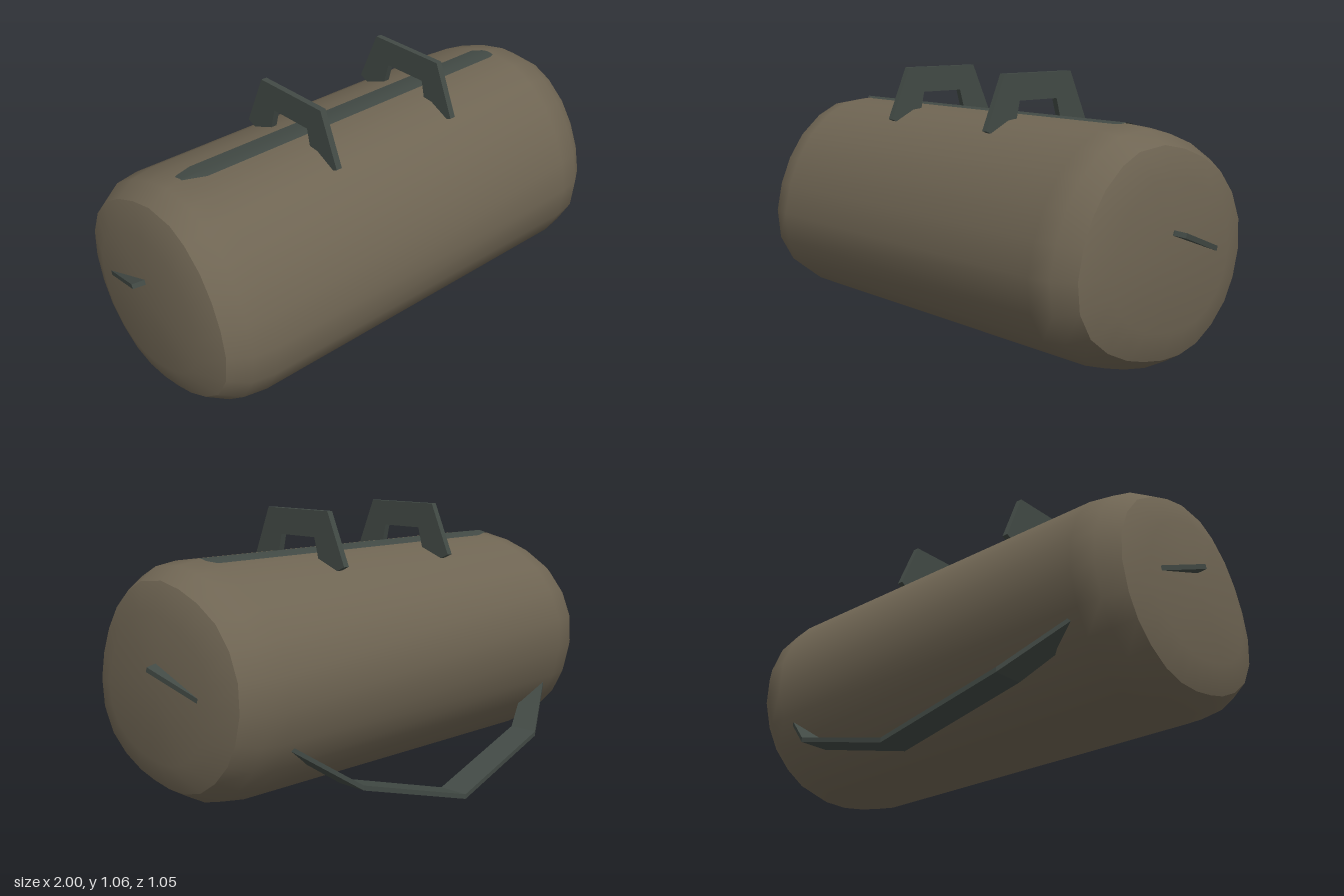
import * as THREE from 'three';

const fabric = new THREE.MeshStandardMaterial({ color: 0x6f6553 });
fabric.name = 'khaki fabric';
const webbing = new THREE.MeshStandardMaterial({ color: 0x424a45, side: THREE.DoubleSide });
webbing.name = 'dark webbing';

// Skin a list of sections (each a list of [x, y, z]); closed wraps each section round.
function loft(sections, closed = true) {
  const n = sections[0].length, index = [];
  for (let i = 0; i < sections.length - 1; i++) {
    for (let j = 0; j < (closed ? n : n - 1); j++) {
      const a = i * n + j, b = i * n + (j + 1) % n;
      index.push(a, b, a + n, b, b + n, a + n);
    }
  }
  const g = new THREE.BufferGeometry();
  g.setAttribute('position', new THREE.Float32BufferAttribute(sections.flat(2), 3));
  g.setIndex(index);
  g.computeVertexNormals();
  return g;
}

// Saggy round outline of the bag as [z, y], from the top over the front
const OUTLINE = [
  [0.07, 0.91], [0.21, 0.895], [0.3, 0.85], [0.39, 0.77], [0.455, 0.673], [0.5, 0.566],
  [0.525, 0.448], [0.513, 0.327], [0.455, 0.222], [0.363, 0.149], [0.257, 0.1], [0.163, 0.076],
  [0.06, 0.06], [-0.045, 0.062], [-0.147, 0.09], [-0.24, 0.15], [-0.32, 0.234], [-0.37, 0.33],
  [-0.4, 0.45], [-0.394, 0.572], [-0.347, 0.685], [-0.27, 0.777], [-0.158, 0.845], [-0.045, 0.887],
];
const CZ = 0.06, CY = 0.48;
const ring = ([x, s]) => OUTLINE.map(([z, y]) => [x, CY + (y - CY) * s, CZ + (z - CZ) * s]);

function polygon(points) {
  return new THREE.Shape(points.map(([x, y]) => new THREE.Vector2(x, y)));
}

function plate(points, depth) {
  const g = new THREE.ExtrudeGeometry(polygon(points), { depth, bevelEnabled: false });
  return g.translate(0, 0, -depth / 2);
}

export function createModel() {
  const model = new THREE.Group();
  model.name = 'duffelBag';
  const add = (name, geometry, material) => {
    const mesh = new THREE.Mesh(geometry, material);
    mesh.name = name;
    model.add(mesh);
    return mesh;
  };

  // Bag body with rounded shoulders
  const profile = [[-0.915, 0.865], [-0.84, 0.97], [-0.75, 1], [0.75, 1], [0.84, 0.97], [0.915, 0.865]];
  add('body', loft(profile.map(ring)), fabric);

  // Slightly domed end panels
  add('leftEnd', loft([[0.915, 0.865], [0.955, 0.62], [0.955, 0]].map(ring)), fabric);
  add('rightEnd', loft([[-0.955, 0], [-0.955, 0.62], [-0.915, 0.865]].map(ring)), fabric);

  // Zip strip lying over the top ridge: [x, back z, front z]
  const topY = (z) => 0.913 - (z < 0.07 ? (0.07 - z) * 0.2 : (z - 0.07) * 0.107);
  const strip = [[-0.785, 0.04, 0.08], [-0.77, 0.03, 0.085], [-0.7, 0.005, 0.11], [0.72, 0.005, 0.11], [0.745, 0.04, 0.1]];
  add('zipStrip', loft(strip.map(([x, z0, z1]) => [z0, 0.07, z1].map((z) => [x, topY(z), z])), false), webbing);

  // Pair of carry handles, outlined as [z, y]
  const handle = [
    [0.313, 0.862], [0.228, 1.062], [-0.099, 1.062], [-0.186, 0.865], [-0.07, 0.81],
    [-0.028, 0.963], [0.155, 0.963], [0.19, 0.81],
  ];
  for (const side of [1, -1]) {
    const mesh = add(side > 0 ? 'leftHandle' : 'rightHandle', plate(handle, 0.024), webbing);
    mesh.rotation.y = -Math.PI / 2;
    mesh.position.x = side * 0.286;

    // Tilted pull tab on each end
    const tab = [[0.92, 0.123], [0.96, 0.123], [1, 0.11], [0.955, -0.123], [0.92, -0.123]];
    const g = plate(tab.map(([x, z]) => [side * x, z]), 0.018);
    g.rotateX(Math.PI / 2 - 0.35).translate(0, 0.522, -0.053);
    add(side > 0 ? 'leftTab' : 'rightTab', g, webbing);
  }

  // Shoulder strap hanging behind: [x, y, inner z, outer z]
  const strap = [
    [-0.74, 0.318, -0.247, -0.335], [-0.49, 0.137, -0.358, -0.476], [0, 0, -0.405, -0.524],
    [0.49, 0.137, -0.358, -0.476], [0.74, 0.318, -0.247, -0.335],
  ];
  const t = 0.018;
  const strapGeometry = loft(strap.map(([x, y, zi, zo]) => [[x, y + t, zo], [x, y + t, zi], [x, y, zi], [x, y, zo]]));
  const flatStrap = strapGeometry.toNonIndexed();
  flatStrap.computeVertexNormals();
  add('shoulderStrap', flatStrap, webbing);

  return model;
}
